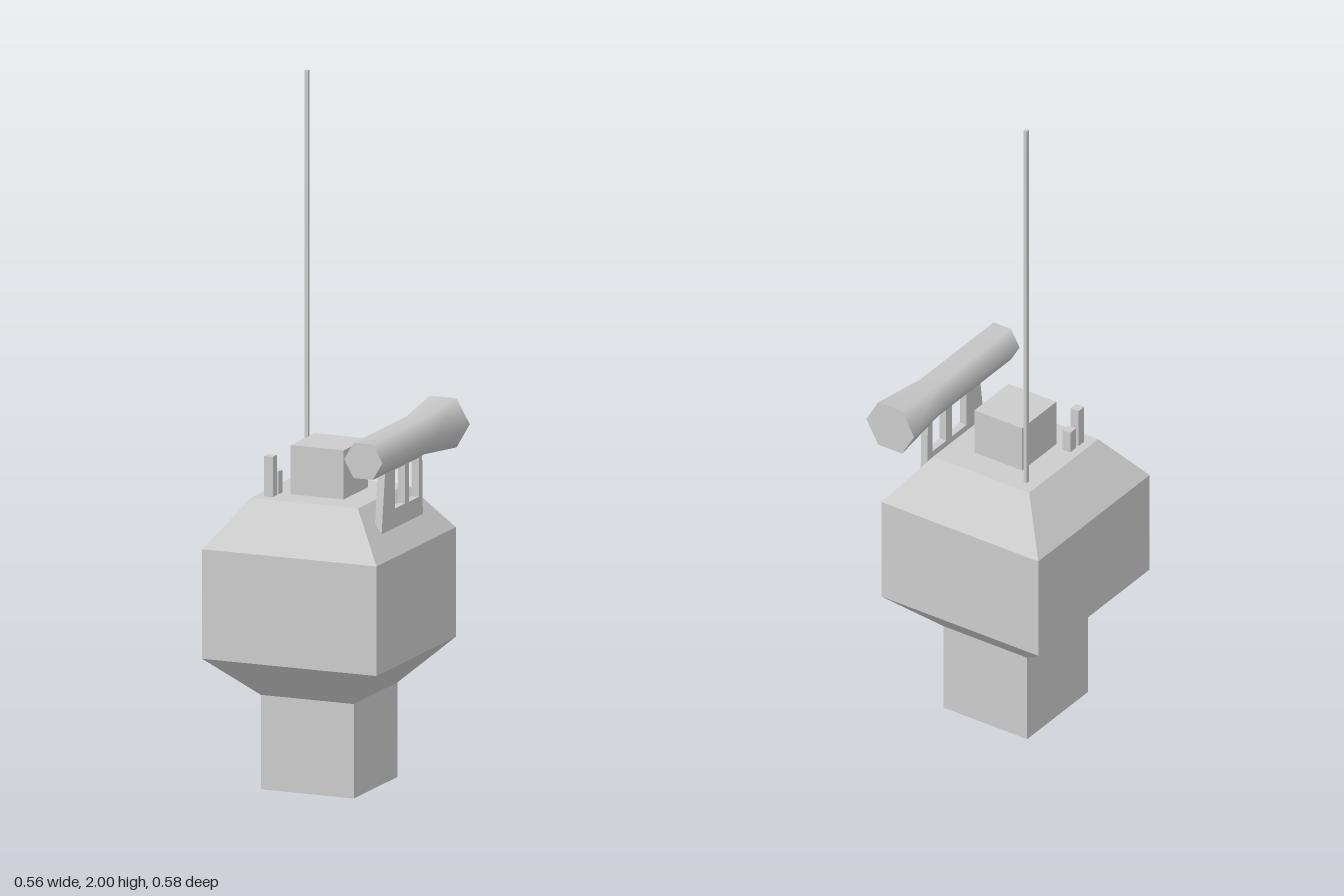
import * as THREE from 'three';

const material = new THREE.MeshStandardMaterial({ color: 0xcccccc });
const BODY_X = -0.0125, BODY_Z = 0.02;

function addMesh(group, name, geometry) {
  const mesh = new THREE.Mesh(geometry, material);
  mesh.name = name;
  group.add(mesh);
  return mesh;
}

// Four-sided block between heights y0 and y1, with half sizes [x, z] at each end
function addFrustum(group, name, y0, y1, bottom, top, cx = BODY_X, cz = BODY_Z) {
  const geometry = new THREE.BoxGeometry(2, 2, 2).toNonIndexed();
  const p = geometry.attributes.position;
  for (let i = 0; i < p.count; i++) {
    const up = p.getY(i) > 0;
    const [hx, hz] = up ? top : bottom;
    p.setXYZ(i, cx + p.getX(i) * hx, up ? y1 : y0, cz + p.getZ(i) * hz);
  }
  geometry.computeVertexNormals();
  return addMesh(group, name, geometry);
}

function rectHole(z0, z1, y0, y1) {
  return new THREE.Path([
    new THREE.Vector2(z0, y0), new THREE.Vector2(z0, y1),
    new THREE.Vector2(z1, y1), new THREE.Vector2(z1, y0),
  ]);
}

export function createModel() {
  const model = new THREE.Group();
  model.name = 'turretTower';

  // Main tower, bottom to top
  const neck = [0.142, 0.148], wide = [0.266, 0.271], roof = [0.163, 0.168];
  addFrustum(model, 'neck', 0, 0.27, neck, neck);
  addFrustum(model, 'lowerTaper', 0.27, 0.387, neck, wide);
  addFrustum(model, 'body', 0.387, 0.7, wide, wide);
  addFrustum(model, 'slopedRoof', 0.7, 0.835, wide, roof);

  // Roof fittings
  const hatch = [0.081, 0.083], post = [0.0135, 0.0138], rod = [0.0055, 0.0055];
  addFrustum(model, 'roofBox', 0.83, 0.975, hatch, hatch, -0.013, 0.018);
  addFrustum(model, 'tallPost', 0.83, 0.95, post, post, -0.137, 0.142);
  addFrustum(model, 'shortPost', 0.83, 0.9, post, post, -0.137, 0.102);
  addFrustum(model, 'antenna', 0.83, 2, rod, rod, -0.136, -0.106);

  // Bracket plate with two windows; drawn in (-z, y) and extruded along x
  const plate = new THREE.Shape([
    new THREE.Vector2(-0.155, 0.755), new THREE.Vector2(0.127, 0.755),
    new THREE.Vector2(0.122, 0.95), new THREE.Vector2(-0.128, 0.95),
  ]);
  plate.holes.push(rectHole(-0.064, 0.005, 0.814, 0.925), rectHole(0.034, 0.1, 0.814, 0.925));
  const bracket = addMesh(model, 'tubeBracket',
    new THREE.ExtrudeGeometry(plate, { depth: 0.022, bevelEnabled: false }));
  bracket.rotation.y = Math.PI / 2;
  bracket.position.x = 0.186;

  // Six-sided tube, flared at the back, with smooth sides and flat ends
  const tube = new THREE.Group();
  tube.name = 'flaredTube';
  tube.position.set(0.197, 0.988, 0);
  model.add(tube);
  const front = 0.255, rear = -0.291, rFront = 0.0585, rRear = 0.081;
  const profile = [[rRear, rear], [rFront, -0.1], [rFront, front]]
    .map(([r, z]) => new THREE.Vector2(r, z));
  addMesh(tube, 'tubeWall', new THREE.LatheGeometry(profile, 6, Math.PI / 2).rotateX(Math.PI / 2));
  addMesh(tube, 'frontCap', new THREE.CircleGeometry(rFront, 6)).position.z = front;
  const rearCap = addMesh(tube, 'rearCap', new THREE.CircleGeometry(rRear, 6));
  rearCap.rotation.y = Math.PI;
  rearCap.position.z = rear;

  return model;
}
